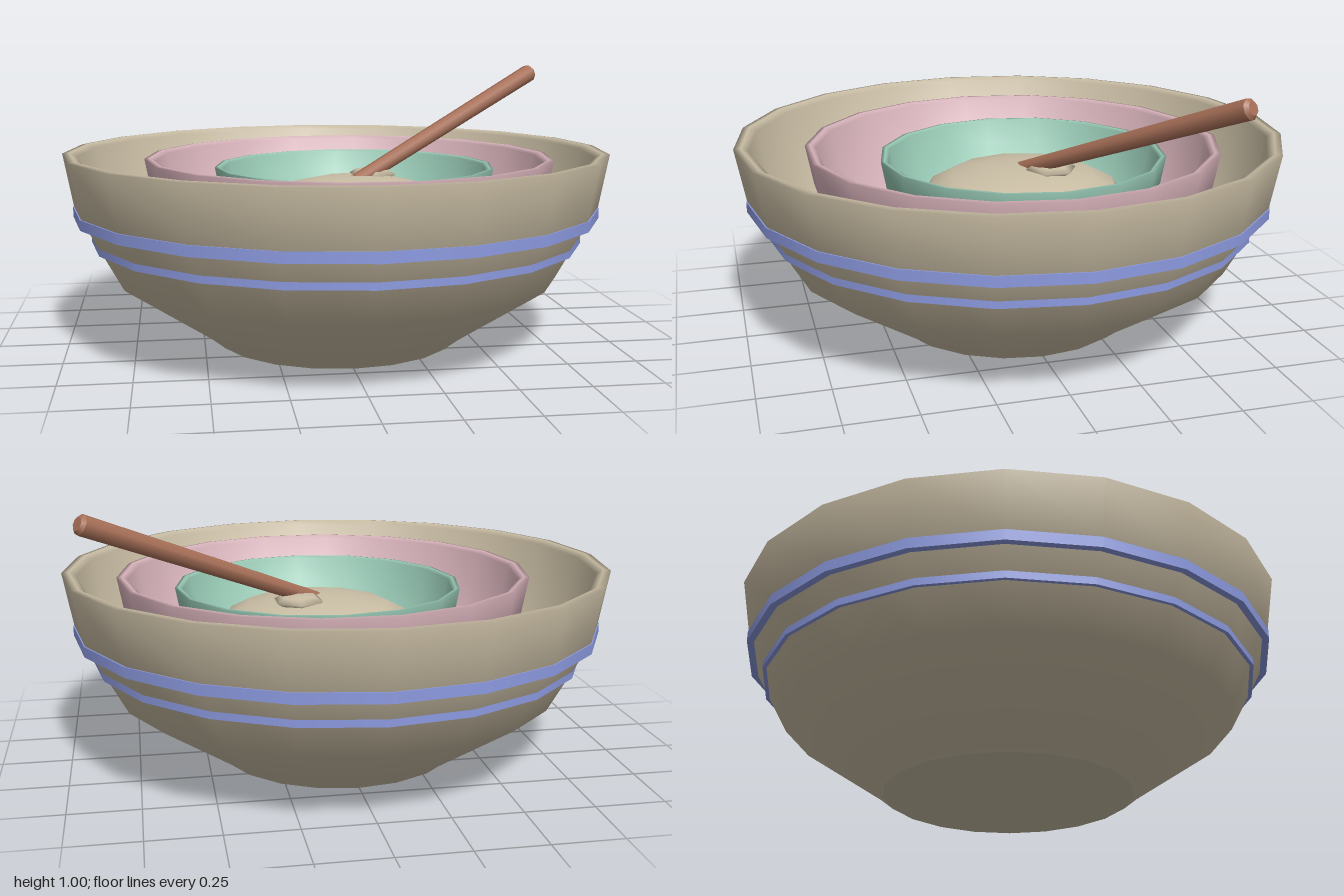
import * as THREE from 'three';

const mat = (name, color) => {
  const m = new THREE.MeshStandardMaterial({ color });
  m.name = name;
  return m;
};

function createModel() {
  const cream = mat('cream', 0xc9bda4);
  const pink = mat('pink', 0xd8b3bb);
  const green = mat('green', 0x98c9b5);
  const blue = mat('blue', 0x8c9ae0);
  const brown = mat('brown', 0xa87058);

  const model = new THREE.Group();
  model.name = 'nestedMixingBowls';
  const add = (parent, name, geometry, material, x = 0, y = 0, z = 0) => {
    const mesh = new THREE.Mesh(geometry, material);
    mesh.name = name;
    mesh.position.set(x, y, z);
    parent.add(mesh);
    return mesh;
  };
  const lathe = (points, sides) => {
    const g = new THREE.LatheGeometry(points.map(([r, y]) => new THREE.Vector2(r, y)), sides);
    g.normalizeNormals();
    return g.rotateY(Math.PI / 2);
  };

  // One bowl wall: up the outside, over the rolled rim, down the inside
  const wall = [
    [0.45, 0], [0.5, 0.04], [0.82, 0.255], [0.965, 0.52], [1, 0.712],
    [0.975, 0.715], [0.948, 0.7], [0.915, 0.53], [0.77, 0.29], [0.45, 0.08], [0, 0.07],
  ];
  const addBowl = (name, size, sides, material, x, rimY, z) => {
    const bowl = new THREE.Group();
    bowl.name = name;
    bowl.position.set(x, rimY - 0.715 * size, z);
    add(bowl, name + 'Wall', lathe(wall.map(([r, y]) => [r * size, y * size]), sides), material);
    const base = new THREE.CircleGeometry(0.45 * size, sides).rotateX(Math.PI / 2);
    add(bowl, name + 'Base', base, material);
    model.add(bowl);
  };
  addBowl('largeBowl', 1, 20, cream, 0, 0.715, 0);
  addBowl('mediumBowl', 0.757, 18, pink, 0.05, 0.69, 0);
  addBowl('smallBowl', 0.525, 16, green, 0.075, 0.65, -0.03);

  // Painted bands around the large bowl
  for (const [name, r, low, high] of [['upperBand', 0.968, 0.48, 0.517], ['lowerBand', 0.905, 0.385, 0.412]]) {
    const parts = [
      [[r, low], [r, high]],
      [[r, high], [r - 0.035, high]],
      [[r - 0.035, low], [r, low]],
    ];
    const band = new THREE.Group();
    band.name = name;
    parts.forEach((p, i) => add(band, name + ['Face', 'Top', 'Underside'][i], lathe(p, 20), blue));
    model.add(band);
  }

  // Dough mound with a small lump on top
  const dough = new THREE.SphereGeometry(0.378, 12, 8).scale(1, 0.34, 1);
  add(model, 'dough', dough, cream, 0.08, 0.48, -0.03);
  const lump = new THREE.SphereGeometry(0.095, 6, 4).scale(1, 0.25, 1).rotateY(Math.PI / 6);
  add(model, 'doughLump', lump, cream, 0.16, 0.603, -0.113);

  // Spoon handle leaning out of the dough, with a chamfered end
  const from = new THREE.Vector3(0.08, 0.585, -0.025);
  const to = new THREE.Vector3(0.91, 0.972, -0.515);
  const dir = to.clone().sub(from);
  const length = dir.length();
  const spoon = new THREE.Group();
  spoon.name = 'spoon';
  spoon.position.copy(from);
  spoon.quaternion.setFromUnitVectors(new THREE.Vector3(0, 1, 0), dir.normalize());
  add(spoon, 'spoonHandle', new THREE.CylinderGeometry(0.036, 0.028, length - 0.012, 8), brown, 0, (length - 0.012) / 2, 0);
  add(spoon, 'spoonHandleEnd', new THREE.CylinderGeometry(0.024, 0.036, 0.012, 8), brown, 0, length - 0.006, 0);
  model.add(spoon);

  return model;
}

export { createModel };
